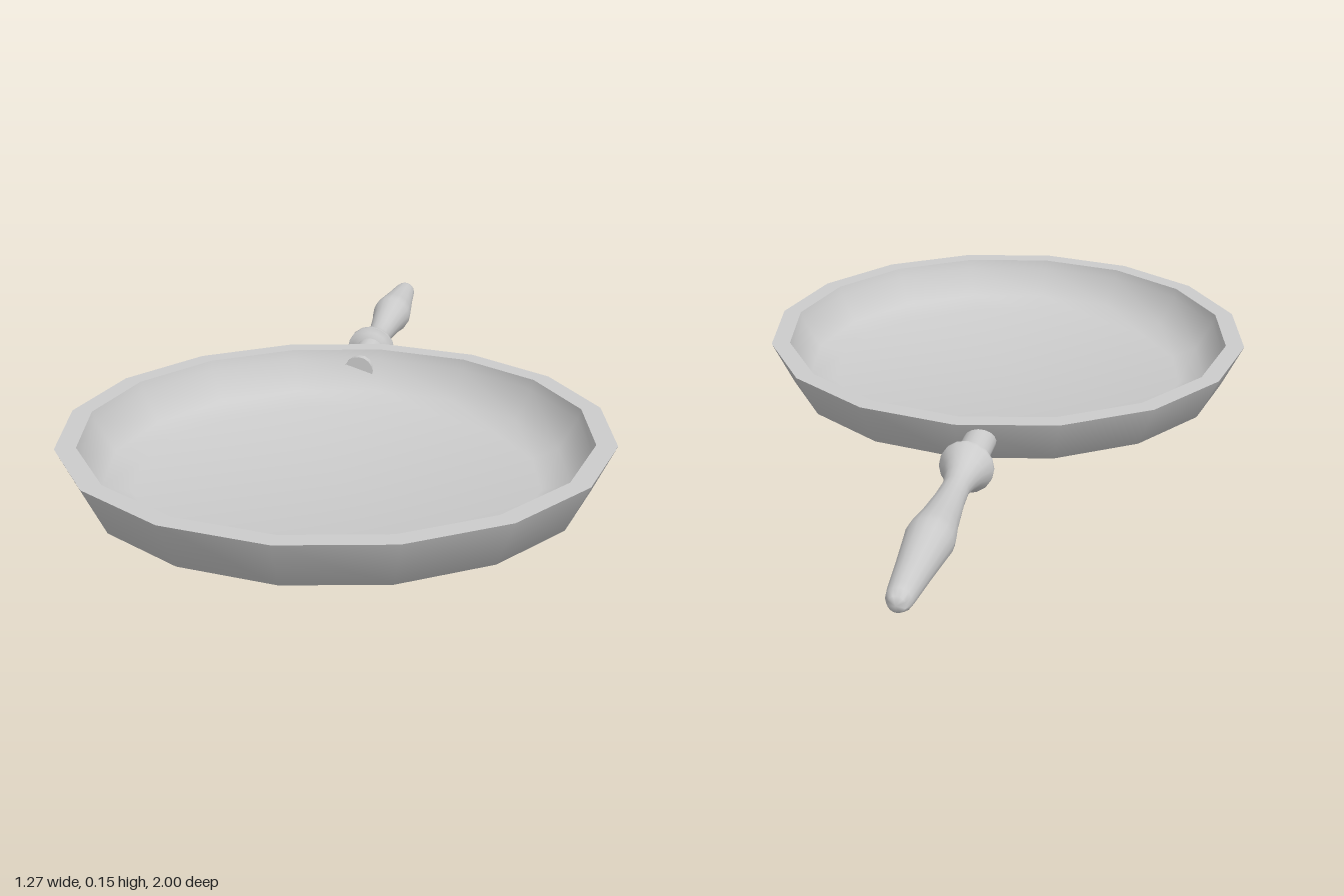
import * as THREE from 'three';
import { toCreasedNormals } from 'three/addons/utils/BufferGeometryUtils.js';

const material = new THREE.MeshStandardMaterial({ color: 0xcccccc });

// Turned part from [radius, height] pairs, smooth except at sharp edges
function turned(name, profile, sides, crease) {
  const points = profile.map(([r, h]) => new THREE.Vector2(r, h));
  const geometry = toCreasedNormals(new THREE.LatheGeometry(points, sides), crease);
  const mesh = new THREE.Mesh(geometry, material);
  mesh.name = name;
  return mesh;
}

export function createModel() {
  const model = new THREE.Group();
  model.name = 'fryingPan';

  // Sixteen-sided dish: underside, outer wall, flat rim, inner wall, floor
  const dish = turned('dish', [
    [0, 0], [0.5, 0.003], [0.58, 0.03], [0.635, 0.142],
    [0.587, 0.142], [0.58, 0.118], [0.535, 0.045], [0.47, 0.025], [0, 0.022],
  ], 16, 0.95);
  dish.position.z = 0.36;
  model.add(dish);

  // Handle, turned around an axis running backwards
  const handle = new THREE.Group();
  handle.name = 'handle';
  handle.position.set(-0.055, 0.09, 0);
  handle.rotation.x = -Math.PI / 2;

  // Shank passing through the dish wall
  handle.add(turned('shank', [
    [0, 0.195], [0.038, 0.195], [0.038, 0.38],
  ], 16, 0.6));

  // Collar and swelling grip with a rounded tip
  handle.add(turned('grip', [
    [0, 0.362], [0.042, 0.362], [0.051, 0.372], [0.064, 0.378], [0.064, 0.388],
    [0.047, 0.415], [0.037, 0.45], [0.031, 0.49], [0.034, 0.55], [0.045, 0.66],
    [0.053, 0.71], [0.054, 0.735], [0.051, 0.76], [0.039, 0.87], [0.031, 0.955],
    [0.028, 0.975], [0.019, 0.993], [0, 1],
  ], 16, 0.9));
  model.add(handle);

  return model;
}
